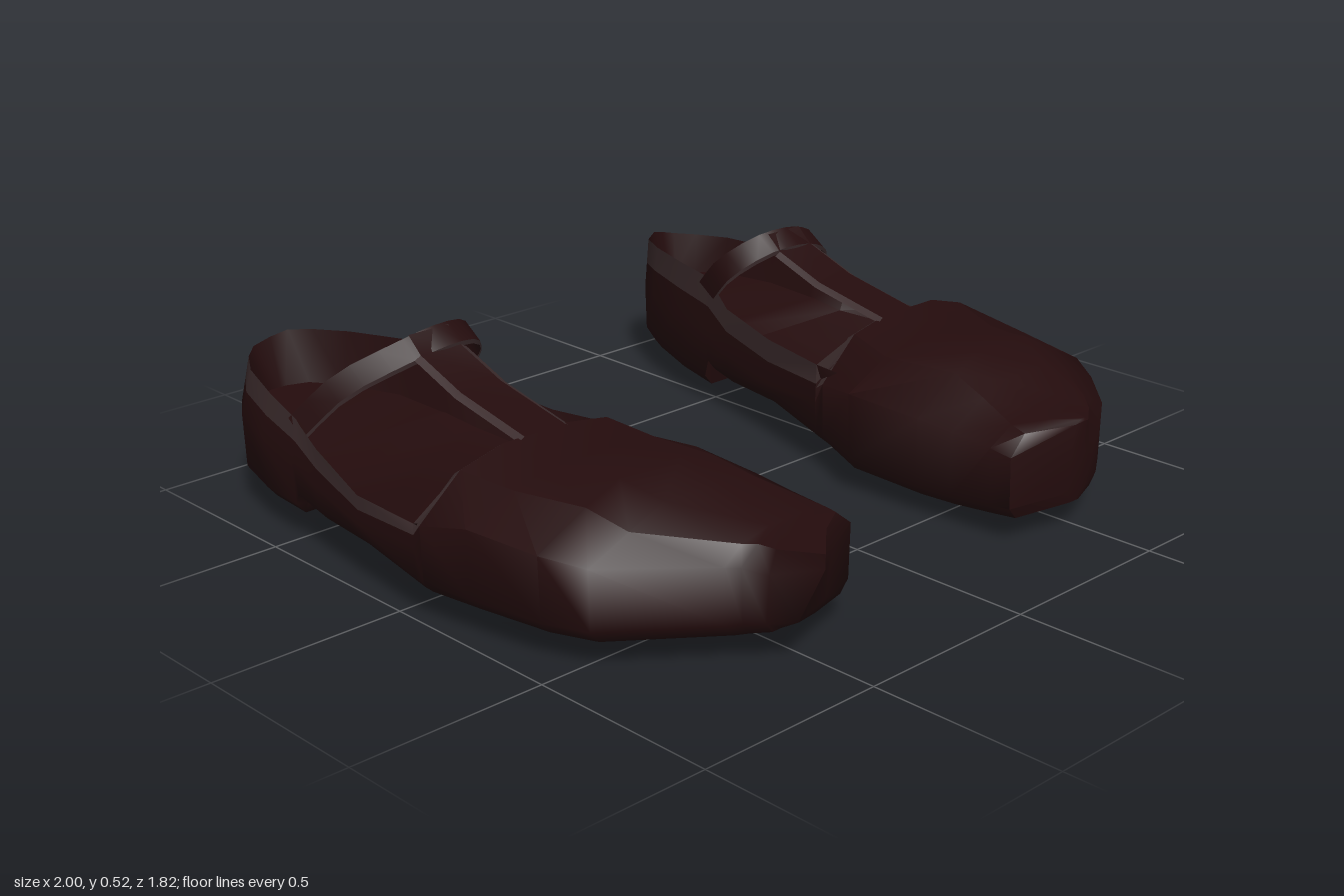
import * as THREE from 'three';
import { toCreasedNormals } from 'three/addons/utils/BufferGeometryUtils.js';

const leather = new THREE.MeshStandardMaterial({ name: 'dark maroon leather', color: 0x240c0d, side: THREE.DoubleSide });
const piping = new THREE.MeshStandardMaterial({ name: 'grey brown piping', color: 0x3a2a2b, side: THREE.DoubleSide });

// Skin a list of open cross-sections; side mirrors the shape to -x
function loft(name, rings, material, side) {
  const n = rings[0].length, index = [];
  const pos = rings.flat().flatMap(([x, y, z]) => [x * side, y, z]);
  for (let i = 0; i < rings.length - 1; i++) {
    for (let j = 0; j < n - 1; j++) {
      const a = i * n + j, b = a + 1, c = a + n, d = c + 1;
      if (side > 0) index.push(a, b, c, b, d, c);
      else index.push(a, c, b, b, c, d);
    }
  }
  const g = new THREE.BufferGeometry();
  g.setAttribute('position', new THREE.Float32BufferAttribute(pos, 3));
  g.setIndex(index);
  const mesh = new THREE.Mesh(toCreasedNormals(g, 1.15), material);
  mesh.name = name;
  return mesh;
}

const lerp = (p, q, t) => p.map((v, i) => v + (q[i] - v) * t);

// z, sole y, shoulder y, inner rim y, outer rim y, inner inset, outer inset, floor y
const backHalf = [
  [-0.912, 0.12, 0.24, 0.37, 0.37, 0, 0, 0.24],
  [-0.905, 0.10, 0.24, 0.38, 0.36, 0.005, 0.01, 0.24],
  [-0.86, 0.08, 0.24, 0.38, 0.355, 0.015, 0.03, 0.24],
  [-0.78, 0.07, 0.24, 0.38, 0.35, 0.015, 0.035, 0.24],
  [-0.63, 0.06, 0.23, 0.38, 0.34, 0.015, 0.03, 0.235],
  [-0.49, 0.05, 0.21, 0.375, 0.315, 0.01, 0.02, 0.22],
  [-0.475, 0.10, 0.21, 0.37, 0.305, 0.01, 0.02, 0.22],
  [-0.38, 0.09, 0.18, 0.31, 0.275, 0.005, 0.01, 0.20],
  [-0.17, 0.10, 0.16, 0.285, 0.23, 0.004, 0.004, 0.175],
  [0.06, 0.07, 0.18, 0.285, 0.235, 0.004, 0.004, 0.16],
];
// Inner and outer x of those sections
const leftWidths = [[0.68, 0.68], [0.635, 0.73], [0.56, 0.80], [0.52, 0.86], [0.47, 0.898],
  [0.443, 0.915], [0.44, 0.915], [0.42, 0.93], [0.37, 1.0], [0.315, 0.985]];
const rightWidths = [[0.71, 0.71], [0.655, 0.775], [0.595, 0.84], [0.54, 0.892], [0.475, 0.932],
  [0.45, 0.943], [0.447, 0.945], [0.425, 0.955], [0.385, 0.985], [0.33, 0.998]];

// Vamp sections: z, inner x, outer x, sole y, shoulder y, inner rim y, outer rim y, inset, instep y
const leftToe = [
  [0.09, 0.31, 0.98, 0.065, 0.24, 0.35, 0.34, 0.12, 0.375],
  [0.24, 0.245, 0.95, 0.06, 0.27, 0.335, 0.32, 0.14, 0.35],
  [0.46, 0.255, 0.905, 0.05, 0.26, 0.345, 0.33, 0.14, 0.378],
  [0.56, 0.265, 0.835, 0.05, 0.25, 0.31, 0.30, 0.12, 0.335],
  [0.68, 0.27, 0.72, 0.06, 0.24, 0.28, 0.28, 0.08, 0.298],
  [0.74, 0.275, 0.63, 0.065, 0.23, 0.28, 0.28, 0.05, 0.295],
  [0.79, 0.45, 0.52, 0.07, 0.20, 0.28, 0.28, 0.01, 0.29],
  [0.795, 0.49, 0.49, 0.07, 0.20, 0.285, 0.285, 0, 0.285],
];
const rightToe = [
  [0.09, 0.32, 1.0, 0.07, 0.24, 0.35, 0.34, 0.12, 0.37],
  [0.23, 0.28, 0.98, 0.07, 0.27, 0.335, 0.32, 0.14, 0.345],
  [0.43, 0.28, 0.945, 0.07, 0.26, 0.345, 0.33, 0.14, 0.37],
  [0.54, 0.28, 0.90, 0.07, 0.25, 0.32, 0.30, 0.12, 0.34],
  [0.72, 0.295, 0.67, 0.07, 0.24, 0.28, 0.28, 0.05, 0.297],
  [0.745, 0.30, 0.645, 0.075, 0.24, 0.28, 0.28, 0.05, 0.295],
  [0.80, 0.42, 0.615, 0.08, 0.23, 0.285, 0.285, 0.02, 0.295],
  [0.905, 0.555, 0.555, 0.08, 0.26, 0.295, 0.295, 0, 0.295],
];

// Named points of one cross-section
function section([z, soleY, sh, rimI, rimO, insI, insO, mid], [xi, xo], archDrop) {
  const w = xo - xi, tuck = Math.min(0.03, w / 4), zs = Math.max(-0.885, Math.min(0.78, z));
  const sole = archDrop ? soleY : Math.max(0.068, soleY), dropped = archDrop && z === -0.17;
  const floorZ = Math.max(z, -0.88), third = w * 0.36, edge = Math.min(0.04, w * 0.3);
  const zl = lerp([zs], [z], 0.4)[0];
  return {
    rI: [xi + insI, rimI, z], sI: [xi, sh, z], lI: [xi + tuck * 0.15, sole + 0.03, zl], bI: [xi + tuck, sole, zs],
    bM: [xo - Math.min(0.1, w / 2), sole, zs], bO: [xo - tuck, dropped ? 0 : sole, zs],
    lO: [xo - tuck * 0.15, dropped ? 0.05 : sole + 0.03, zl], sO: [xo, sh, z], rO: [xo - insO, rimO, z],
    mI: [xi + third, mid, z], mO: [xo - third, mid, z],
    fI: [xi + edge, mid, floorZ], fO: [xo - edge, mid, floorZ],
  };
}

function shoe(name, side, widths, toe, archDrop) {
  const group = new THREE.Group();
  group.name = name;
  const add = (part, rings, mat = leather) => group.add(loft(part, rings, mat, side));
  const back = backHalf.map((r, i) => section(r, widths[i], archDrop));
  const front = toe.map(([z, xi, xo, sole, sh, rimI, rimO, inset, mid]) =>
    section([z, sole, sh, rimI, rimO, inset, inset, mid], [xi, xo], archDrop));
  const throat = front[0];

  // Lining and insole, running a little way under the vamp
  const inside = back.map((s) => [s.rO, s.fO, s.fI, s.rI]);
  const f = front[1], under = ([x, , z], dx, y) => [x + dx, y, z];
  inside.push([under(f.rO, 0, 0.24), under(f.fO, -0.08, 0.15), under(f.fI, 0.08, 0.15), under(f.rI, 0, 0.24)]);
  add('insole', inside);

  // Sides and sole of the back half, with the piping along the rim
  back.push(throat);
  const low = (s, k) => lerp(s['r' + k], s['s' + k], 0.5);
  const under7 = (s) => [s.sI, s.lI, s.bI, s.bM, s.bO, s.lO, s.sO];
  add('quarterAndHeel', back.map((s) => [low(s, 'I'), ...under7(s), low(s, 'O')]));
  add('innerRimPiping', back.map((s) => [s.rI, low(s, 'I')]), piping);
  add('outerRimPiping', back.map((s) => [low(s, 'O'), s.rO]), piping);

  // Closed toe box
  add('toeSidesAndSole', front.map((s) => [s.rI, ...under7(s), s.rO]));
  add('vamp', front.map((s) => [s.rO, s.mO, s.mI, s.rI]));

  // Piping along the throat on both sides of the strap
  const rearward = ([x, y, z]) => [x, y - 0.015, z - 0.022];
  for (const k of ['I', 'O']) {
    add('throatPiping', [throat['s' + k], throat['r' + k], throat['m' + k]].map((p) => [p, rearward(p)]), piping);
  }

  // Instep strap with piped edges
  const cx = side > 0 ? 0.59 : 0.64;
  const path = [[0.1, 0.374], [-0.13, 0.42], [-0.28, 0.475], [-0.325, 0.515]];
  const half = 0.06;
  add('instepStrap', path.map(([z, y]) => [[cx + half, y, z], [cx - half, y, z]]));
  for (const e of [-1, 1]) {
    add('instepStrapPiping', path.slice(0, 3).map(([z, y]) => [
      [cx + e * half, y, z], [cx + e * (half + 0.018), y - 0.01, z]]), piping);
  }

  // Ankle strap arching from rim to rim
  const arch = new THREE.CatmullRomCurve3([
    [0.435, 0.36, -0.50], [0.43, 0.44, -0.425], [0.50, 0.508, -0.35], [0.60, 0.52, -0.33],
    [0.70, 0.495, -0.35], [0.83, 0.42, -0.435], [0.905, 0.31, -0.52],
  ].map((p) => new THREE.Vector3(...p))).getPoints(14);
  const shift = side > 0 ? 0 : 0.02;
  const edge = (p, dy, dz) => [p.x + shift, p.y + dy, p.z + dz];
  add('ankleStrap', arch.map((p) => [edge(p, 0, 0), edge(p, -0.038, 0.055)]));
  add('ankleStrapPiping', arch.map((p) => [edge(p, -0.038, 0.055), edge(p, -0.05, 0.053)]), piping);
  return group;
}

export function createModel() {
  const model = new THREE.Group();
  model.name = 'strapShoes';
  model.add(shoe('leftShoe', 1, leftWidths, leftToe, true), shoe('rightShoe', -1, rightWidths, rightToe, false));
  return model;
}
